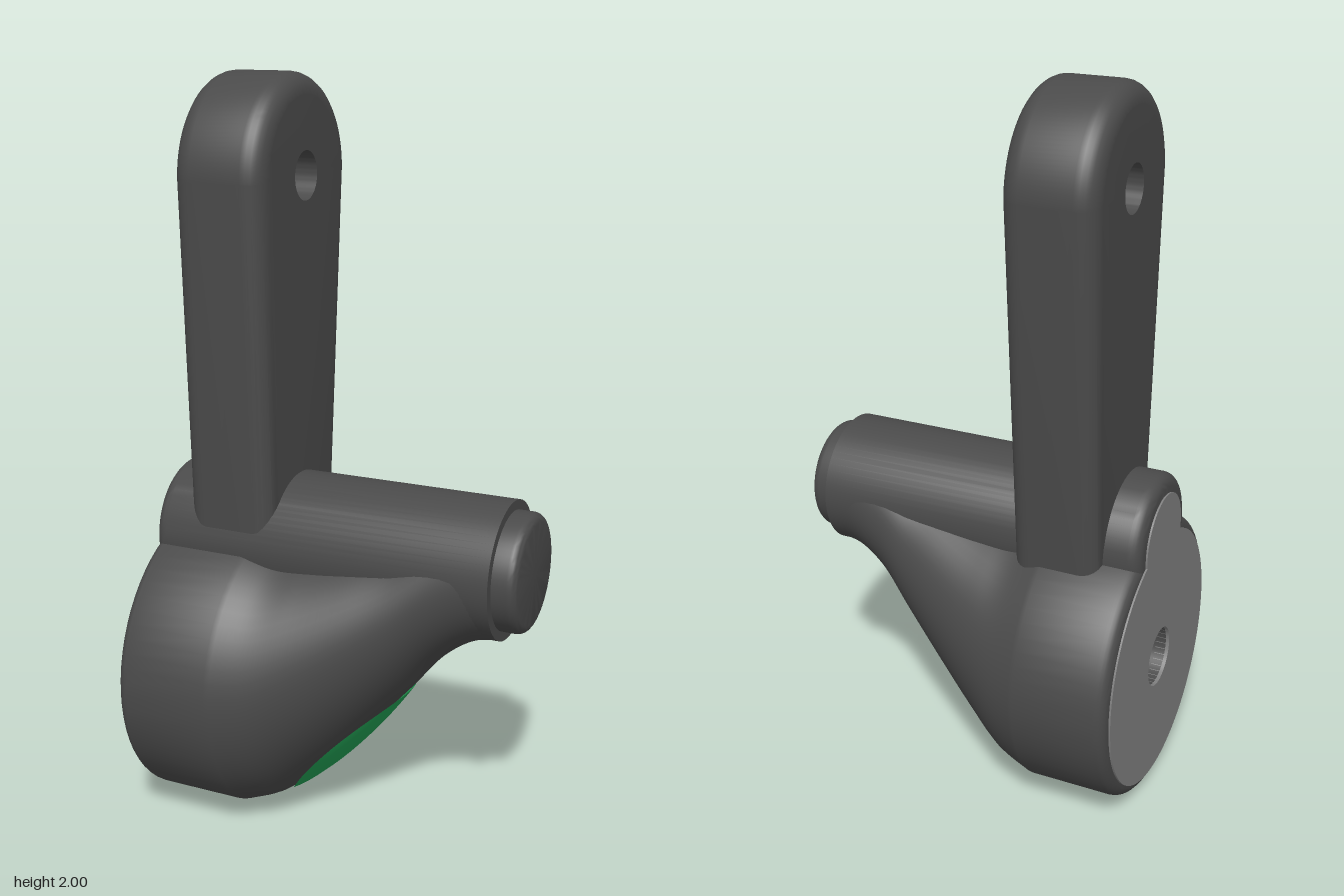
import * as THREE from 'three';
import { toCreasedNormals } from 'three/addons/utils/BufferGeometryUtils.js';

const BODY_R = 0.403, TUBE_Y = 0.772, SEGMENTS = 64;
const paint = (color, side = THREE.FrontSide) => new THREE.MeshStandardMaterial({ color, side });
const dark = paint(0x4a4a4a), grey = paint(0x808080), green = paint(0x22a355);

function part(name, geometry, material, crease = 0.6) {
  const mesh = new THREE.Mesh(toCreasedNormals(geometry, crease), material);
  mesh.name = name;
  return mesh;
}

// Turned solid along x from [x, radius] pairs, optionally with a shifting centre height
function turned(profile, centre) {
  const geo = new THREE.LatheGeometry(profile.map(([x, r]) => new THREE.Vector2(r, x)), SEGMENTS);
  geo.rotateZ(-Math.PI / 2);
  const pos = geo.attributes.position;
  for (let i = 0; i < pos.count; i++) {
    pos.setY(i, pos.getY(i) + (Array.isArray(centre) ? centre[i % profile.length] : centre));
  }
  return geo;
}

// Quarter-round corner, going from the back face to the side wall or side wall to the front face
function corner(x, r, radius, front = false) {
  return Array.from({ length: 7 }, (_, i) => {
    const t = (i / 6) * Math.PI / 2;
    return front
      ? [x - radius + radius * Math.sin(t), r - radius + radius * Math.cos(t)]
      : [x + radius - radius * Math.cos(t), r - radius + radius * Math.sin(t)];
  });
}

// Nose of the body: x, radius and centre height of each circular section
const nose = new THREE.CatmullRomCurve3([
  [-0.17, 0.403, 0.403], [-0.08, 0.373, 0.413], [0.01, 0.335, 0.46], [0.14, 0.28, 0.545],
  [0.25, 0.235, 0.625], [0.35, 0.2, 0.71], [0.44, 0.184, 0.758], [0.51, 0.179, 0.77],
].map((p) => new THREE.Vector3(...p)));

function makeBody() {
  const back = [[-0.435, 0.33], ...corner(-0.435, BODY_R, 0.035)];
  const front = nose.getPoints(48);
  const profile = [...back, ...front.map((p) => [p.x, p.y])];
  const centre = [...back.map(() => BODY_R), ...front.map((p) => p.z)];
  return turned(profile, centre);
}

// Domed pad that follows the underside of the nose
function makePad() {
  const rows = nose.getPoints(200);
  const section = (x) => {
    const i = Math.max(1, rows.findIndex((p) => p.x >= x));
    const a = rows[i - 1], b = rows[i];
    return a.clone().lerp(b, (x - a.x) / (b.x - a.x));
  };
  const geo = new THREE.RingGeometry(0.0001, 1, 56, 12);
  const pos = geo.attributes.position;
  for (let i = 0; i < pos.count; i++) {
    const u = pos.getX(i), v = pos.getY(i);
    const s = section(0.083 + 0.168 * u);
    const lift = 0.003 + 0.014 * Math.max(0, 1 - u * u - v * v);
    const angle = (0.162 * v) / 0.295;
    const r = s.y + lift;
    pos.setXYZ(i, s.x + lift * 0.7, s.z - r * Math.cos(angle), r * Math.sin(angle));
  }
  return geo;
}

// Tapered handle with a round top, soft edges and a straight cross hole
function makeArm() {
  const cx = 0.037, cy = 1.74, r = 0.26, hole = 0.064, bevel = 0.055, depth = 0.252;
  const shape = new THREE.Shape();
  shape.moveTo(-0.125, 0.55);
  shape.lineTo(0.248, 0.55);
  shape.lineTo(cx + r, cy);
  shape.absarc(cx, cy, r, 0, Math.PI, false);
  shape.closePath();
  const hollow = new THREE.Path();
  hollow.absarc(cx, cy, 0.12, 0, Math.PI * 2, true);
  shape.holes.push(hollow);
  const geo = new THREE.ExtrudeGeometry(shape, {
    depth: depth - 2 * bevel, bevelEnabled: true, bevelThickness: bevel, bevelSize: bevel,
    bevelOffset: -bevel, bevelSegments: 6, curveSegments: 32,
  });
  // Pull the rounded hole edge in to a plain cylinder
  const pos = geo.attributes.position;
  for (let i = 0; i < pos.count; i++) {
    const dx = pos.getX(i) - cx, dy = pos.getY(i) - cy, d = Math.hypot(dx, dy);
    if (d < 0.19) pos.setXY(i, cx + dx * hole / d, cy + dy * hole / d);
  }
  geo.translate(0, 0, bevel);
  geo.rotateY(-Math.PI / 2);
  geo.translate(-0.083, 0, -0.084);
  return geo;
}

// Keyhole-shaped back plate: large disc joined to a small lobe, with a centre hole
function makePlate() {
  const R = 0.368, r = 0.132, d = TUBE_Y - BODY_R;
  const h = (d * d + R * R - r * r) / (2 * d), w = Math.sqrt(R * R - h * h);
  const big = Math.atan2(h, w), small = Math.atan2(h - d, w);
  const shape = new THREE.Shape();
  shape.absarc(0, BODY_R, R, Math.PI - big, Math.PI * 2 + big, false);
  shape.absarc(0, TUBE_Y, r, small, Math.PI - small, false);
  const hollow = new THREE.Path();
  hollow.absarc(0, BODY_R, 0.085, 0, Math.PI * 2, true);
  shape.holes.push(hollow);
  const geo = new THREE.ExtrudeGeometry(shape, { depth: 0.04, bevelEnabled: false, curveSegments: 48 });
  geo.rotateY(-Math.PI / 2);
  geo.translate(-0.4, 0, 0);
  return geo;
}

export function createModel() {
  const model = new THREE.Group();
  model.name = 'model';
  const unit = new THREE.Group();
  unit.name = 'swivelUnit';
  unit.rotation.y = THREE.MathUtils.degToRad(-21);
  // Everything shares the tube axis, which sits slightly off centre
  const offset = new THREE.Group();
  offset.name = 'axisOffset';
  offset.position.z = 0.084;
  unit.add(offset);
  model.add(unit);

  const tube = [[-0.435, 0], ...corner(-0.435, 0.184, 0.035), [0.518, 0.184], [0.518, 0]];
  const cap = [[0.5, 0.158], ...corner(0.582, 0.158, 0.025, true), [0.582, 0]];
  const bore = [[-0.28, 0], [-0.28, 0.085], [-0.43, 0.085]];

  offset.add(
    part('body', makeBody(), dark, 0.5),
    part('tube', turned(tube, TUBE_Y), dark),
    part('endCap', turned(cap, TUBE_Y), dark),
    part('arm', makeArm(), dark),
    part('backPlate', makePlate(), grey),
    part('plateBore', turned(bore, BODY_R), paint(0x4a4a4a, THREE.DoubleSide)),
    part('greenPad', makePad(), paint(green.color, THREE.DoubleSide), 1),
  );
  return model;
}
